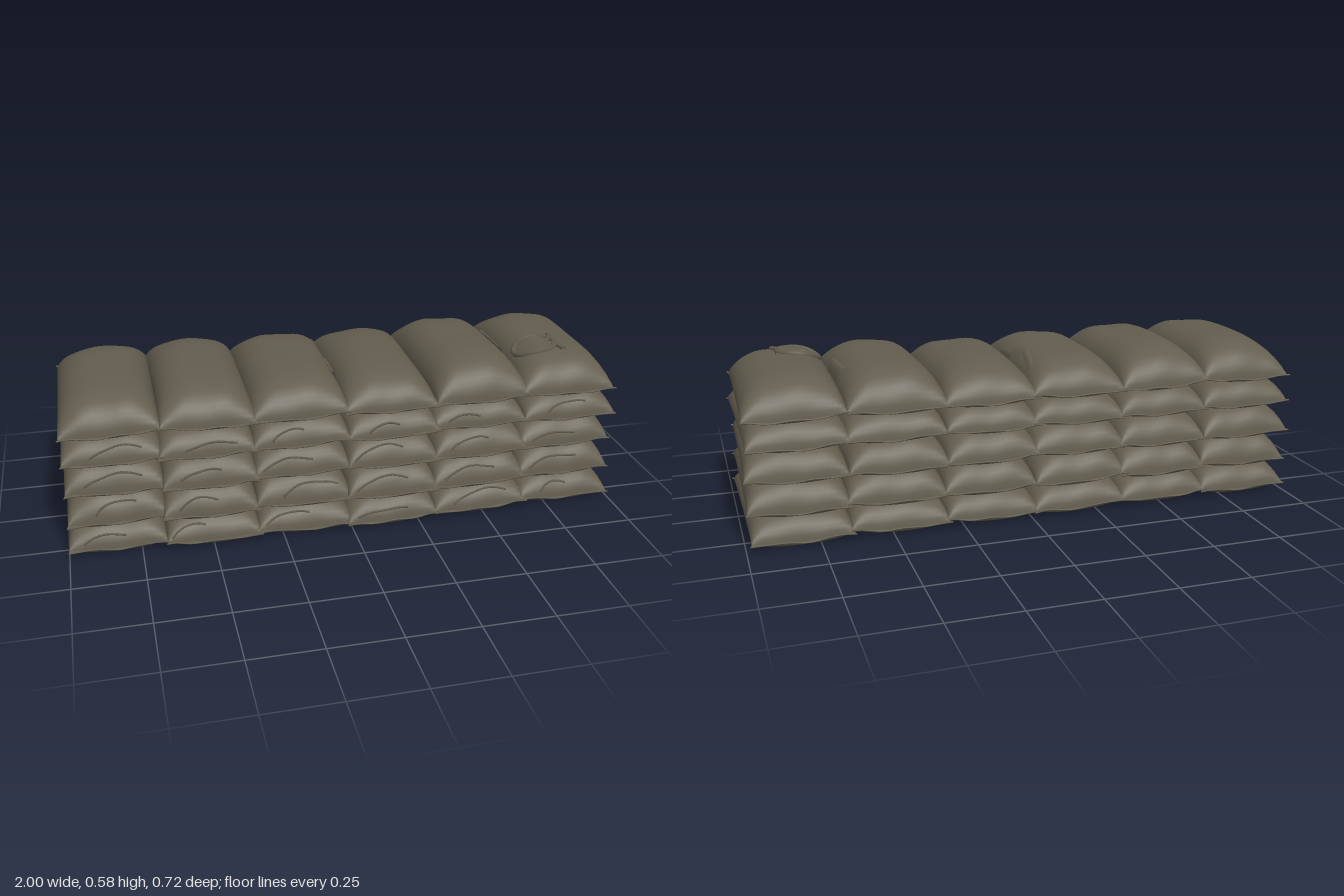
import * as THREE from 'three';

const canvas = new THREE.MeshStandardMaterial({ color: 0x625d4e, side: THREE.DoubleSide });
canvas.name = 'olive canvas';

// small seeded generator, returns -1..1
let seed = 11;
const rnd = () => {
  seed = (seed * 16807) % 2147483647;
  return (seed / 2147483647) * 2 - 1;
};

const mesh = (name, geometry) => {
  const m = new THREE.Mesh(geometry, canvas);
  m.name = name;
  return m;
};

// grid surface from a function of a, b in -1..1
function sheet(fn, na, nb) {
  const g = new THREE.PlaneGeometry(2, 2, na, nb);
  const pos = g.attributes.position;
  for (let i = 0; i < pos.count; i++) {
    const p = fn(pos.getX(i), -pos.getY(i));
    pos.setXYZ(i, p.x, p.y, p.z);
  }
  g.computeVertexNormals();
  return g;
}

const cord = (points, radius, n = 16) =>
  new THREE.TubeGeometry(new THREE.CatmullRomCurve3(points), n, radius, 5);

// One pillow-shaped bag: o = cx, hw, y (seam), zf, zb, up, down, px, pz (fullness)
function makeBag(o) {
  const group = new THREE.Group();
  const lip = 0.012;
  const cz = (o.zf + o.zb) / 2, hl = (o.zf - o.zb) / 2 - lip;
  const phase = rnd() * 3, yaw = rnd() * 0.006, tilt = rnd() * 0.005;

  // surface point; side 1 = top, -1 = bottom
  const point = (u, v, side, lift = 0) => {
    const au = Math.abs(u), av = Math.abs(v);
    const pu = side > 0 ? o.px : 3.2, pv = side > 0 ? o.pz : 5;
    const full = Math.pow(Math.max(0, 1 - au ** pu), 0.55) * Math.pow(Math.max(0, 1 - av ** pv), 0.42);
    const sag = -0.011 * av ** 10 - 0.013 * av ** 6 * (1 - u * u);
    const wrinkle = 0.08 * Math.sin(7 * u + phase + v * 2) * av ** 4 + 0.025 * Math.sin(3 * v + phase + 2 * u);
    const h = full * (side > 0 ? o.up * (1 + wrinkle) : -o.down);
    return new THREE.Vector3(
      o.cx + o.hw * u * (1 - 0.01 * (1 - v * v)) + yaw * v,
      Math.max(0.002, o.y + sag + h + tilt * u) + lift,
      cz + hl * v + Math.sign(v) * 0.006 * av ** 8 * au ** 8
    );
  };
  const ease = (t) => Math.sin((t * Math.PI) / 2);
  group.add(mesh('bagTop', sheet((a, b) => point(ease(a), ease(b), 1), 20, 30)));
  group.add(mesh('bagUnderside', sheet((a, b) => point(ease(-a), ease(b), -1), 16, 22)));

  // flat stitched hems with a rolled edge and pointed corners
  for (const end of [1, -1]) {
    const hem = (u, t) => {
      const p = point(u, end, 1);
      p.z += end * t * lip * (0.5 + 0.7 * u ** 8 + 0.15 * Math.sin(9 * u + phase));
      p.x += t * 0.004 * u ** 7;
      p.y += t * 0.003 * Math.sin(6 * u + phase * 2);
      return p;
    };
    group.add(mesh('endHem', sheet((a, b) => hem(a, (b + 1) / 2), 16, 2)));
    const edge = [];
    for (let i = 0; i <= 10; i++) edge.push(hem(i / 5 - 1, 1));
    group.add(mesh('hemRoll', cord(edge, 0.003, 20)));
  }
  return { group, point };
}

export function createModel() {
  const wall = new THREE.Group();
  wall.name = 'sandbagWall';

  const edges = [-0.993, -0.66, -0.34, -0.01, 0.31, 0.645, 0.985];
  const crown = [0.109, 0.109, 0.102, 0.1, 0.119, 0.108];
  const frontShift = [-0.028, 0, -0.01, -0.004, -0.014, -0.03];
  const layers = [
    { y: 0.047, up: 0.074, down: 0.045, zf: 0.35 },
    { y: 0.147, up: 0.09, down: 0.042, zf: 0.345 },
    { y: 0.257, up: 0.086, down: 0.036, zf: 0.332 },
    { y: 0.367, up: 0.075, down: 0.033, zf: 0.325 },
    { y: 0.467, up: 0.115, down: 0.034, zf: 0.313 },
  ];
  const topBags = [];

  layers.forEach((layer, row) => {
    const isTop = row === 4;
    for (let col = 0; col < 6; col++) {
      const outer = col === 0 || col === 5;
      const bag = makeBag({
        cx: (edges[col] + edges[col + 1]) / 2 + rnd() * (outer ? 0.002 : 0.004),
        hw: (edges[col + 1] - edges[col]) / 2 + (outer ? 0.002 : 0.005),
        y: layer.y + rnd() * 0.003,
        up: isTop ? crown[col] : layer.up,
        down: layer.down,
        zf: Math.max(0.31, layer.zf + frontShift[col]) + rnd() * 0.005,
        zb: -0.345 + rnd() * 0.005,
        px: isTop ? 2.8 : 3.6,
        pz: isTop ? 3.5 : 7,
      });
      bag.group.name = `sandbagRow${row + 1}Column${col + 1}`;
      wall.add(bag.group);
      if (isTop) topBags.push(bag);

      // shallow slanting crease across the front end
      if (!isTop) {
        const u0 = -0.7 + 0.25 * rnd(), span = 0.9 + 0.3 * rnd(), rise = 0.05 + 0.03 * rnd(), pts = [];
        for (let i = 0; i <= 6; i++)
          pts.push(bag.point(u0 + (span * i) / 6, 0.99 - rise * Math.sin((i / 6) * 2.4), 1, -0.001));
        bag.group.add(mesh('frontCrease', cord(pts, 0.0045, 14)));
      }
    }
  });

  // loose cloth lying on a bag, centred at u, v
  const flap = (bag, u, v, du, dv, skew, lift) =>
    bag.group.add(mesh('looseFlap', sheet(
      (a, b) => bag.point(Math.min(0.99, u + a * du + b * skew), v + b * dv, 1, lift * (1 - 0.6 * a * a)), 6, 8)));
  flap(topBags[2], 0.72, -0.08, 0.2, 0.13, 0.04, 0.01);
  flap(topBags[2], 0.78, -0.4, 0.07, 0.22, -0.08, 0.007);
  flap(topBags[2], 0.93, 0.2, 0.05, 0.17, 0.02, 0.014);
  flap(topBags[4], 0.9, -0.05, 0.09, 0.27, 0.02, 0.015);

  // tied neck on the end bag: a bunched loop with two short tails
  const tied = topBags[5];
  const loop = [];
  for (let i = 0; i <= 12; i++) {
    const t = (i / 12) * Math.PI * 2;
    loop.push(tied.point(-0.4 + 0.44 * Math.cos(t), 0.4 + 0.2 * Math.sin(t), 1, 0.002));
  }
  tied.group.add(mesh('tiedLoop', cord(loop, 0.011, 32)));
  const tails = [
    [[-0.75, 0.36], [-0.4, 0.38], [0, 0.48], [0.12, 0.62]],
    [[-0.5, 0.5], [-0.3, 0.42], [0, 0.32], [0.06, 0.2]],
  ];
  for (const path of tails)
    tied.group.add(mesh('tieTail', cord(path.map(([u, v]) => tied.point(u, v, 1, 0.003)), 0.009)));
  flap(tied, -0.42, 0.4, 0.34, 0.14, 0.06, 0.012);

  return wall;
}
